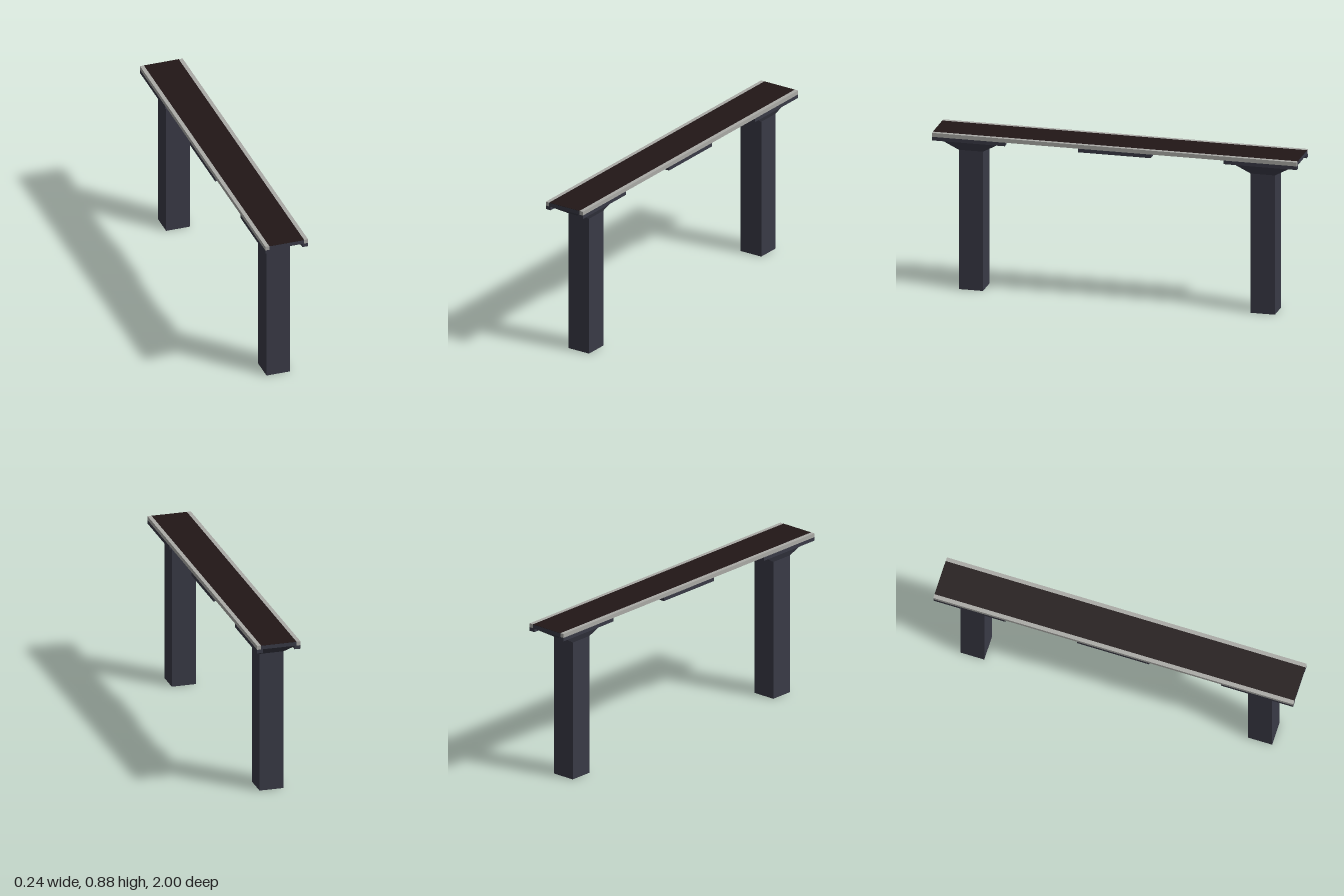
import * as THREE from 'three';

const mat = (color) => new THREE.MeshStandardMaterial({ color, flatShading: true });

export function createModel() {
  const model = new THREE.Group();
  model.name = 'bridgeSection';
  const concrete = mat(0x393a46);
  const asphalt = mat(0x211717);
  const curbGrey = mat(0xaaaaa6);

  // box given by its size, centre x, bottom y and centre z
  const box = (name, material, [w, h, d], [x, y, z], parent = model) => {
    const mesh = new THREE.Mesh(new THREE.BoxGeometry(w, h, d), material);
    mesh.position.set(x, y + h / 2, z);
    mesh.name = name;
    parent.add(mesh);
    return mesh;
  };

  // deck with a thin road surface, flush with the curbs
  box('deck', concrete, [0.196, 0.021, 2], [0, 0.855, 0]);
  box('roadSurface', asphalt, [0.196, 0.001, 2], [0, 0.876, 0]);
  for (const side of [-1, 1]) {
    box('curb', curbGrey, [0.022, 0.022, 2], [side * 0.109, 0.855, 0]);
  }

  // plate under the middle of the span
  box('midPlate', concrete, [0.24, 0.02, 0.4], [0, 0.835, 0]);

  for (const end of [-1, 1]) {
    const pier = new THREE.Group();
    pier.name = end > 0 ? 'frontPier' : 'backPier';
    pier.position.z = end * 0.8;
    model.add(pier);

    box('column', concrete, [0.133, 0.777, 0.133], [0, 0, 0], pier);

    // flared capital: a box whose top is widened, mostly along the span
    const capital = box('capital', concrete, [0.133, 0.078, 0.133], [0, 0.777, 0], pier);
    const p = capital.geometry.attributes.position;
    for (let i = 0; i < p.count; i++) {
      if (p.getY(i) > 0) {
        p.setX(i, Math.sign(p.getX(i)) * 0.095);
        p.setZ(i, Math.sign(p.getZ(i)) * 0.2);
      }
    }
    capital.geometry.computeVertexNormals();

    // bearing strips along both edges of the capital
    for (const side of [-1, 1]) {
      box('bearingStrip', concrete, [0.032, 0.02, 0.4], [side * 0.104, 0.835, 0], pier);
    }
  }

  return model;
}
